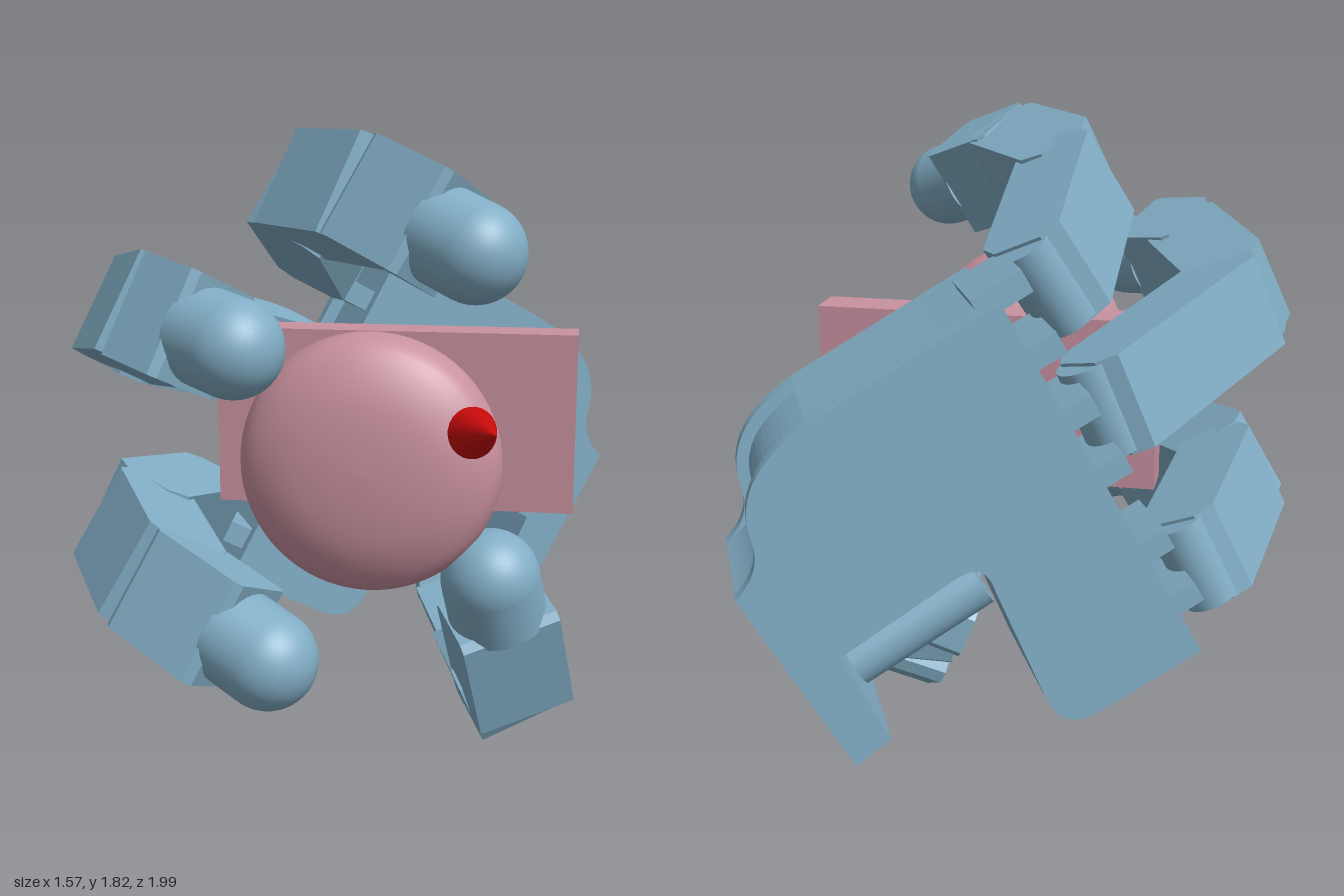
import * as THREE from 'three';

const V = (x, y, z) => new THREE.Vector3(x, y, z);
const blue = new THREE.MeshStandardMaterial({ color: 0x82aec6 });
const pink = new THREE.MeshStandardMaterial({ color: 0xc8919f });
const red = new THREE.MeshStandardMaterial({ color: 0xc80a0a });

function mesh(name, geometry, material, parent) {
  const m = new THREE.Mesh(geometry, material);
  m.name = name;
  parent.add(m);
  return m;
}

// Group at a, x axis towards b, z axis along the hinge direction
function frame(name, a, b, hinge, parent) {
  const g = new THREE.Group();
  const x = b.clone().sub(a).normalize();
  const z = hinge.clone().addScaledVector(x, -hinge.dot(x)).normalize();
  const y = z.clone().cross(x);
  g.quaternion.setFromRotationMatrix(new THREE.Matrix4().makeBasis(x, y, z));
  g.position.copy(a);
  g.name = name;
  parent.add(g);
  return g;
}

// Chamfered profile from x0 to x1, extruded across the width
function chamferBlock(x0, x1, thick, width, c) {
  const t = thick / 2;
  const s = new THREE.Shape([
    [x0 + c, -t], [x1 - c, -t], [x1, -t + c], [x1, t - c],
    [x1 - c, t], [x0 + c, t], [x0, t - c], [x0, -t + c],
  ].map(p => new THREE.Vector2(...p)));
  return new THREE.ExtrudeGeometry(s, { depth: width, bevelEnabled: false }).translate(0, 0, -width / 2);
}

// One phalanx: body and the hinge barrel at its start
function link(a, b, hinge, width, thick, parent) {
  const g = frame('phalanx', a, b, hinge, parent);
  const L = a.distanceTo(b);
  mesh('linkBody', chamferBlock(-0.03, L + 0.03, thick, width, 0.05), blue, g);
  mesh('hingeBarrel', new THREE.CylinderGeometry(0.09, 0.09, width - 0.02, 24).rotateX(Math.PI / 2), blue, g);
}

// Fingertip: a box ending in a round cap
function fingertip(a, tip, hinge, width, thick, parent) {
  const g = frame('fingertip', a, tip, hinge, parent);
  const L = a.distanceTo(tip);
  mesh('tipBody', chamferBlock(-0.04, L - 0.11, thick, width, 0.02), blue, g);
  mesh('tipCylinder', new THREE.CylinderGeometry(0.135, 0.135, 0.14, 40).rotateZ(Math.PI / 2), blue, g)
    .position.x = L - 0.07;
  mesh('tipCap', new THREE.SphereGeometry(0.135, 40, 24), blue, g).position.x = L;
}

function digit(name, points, hinge, width, thick, parent) {
  const g = new THREE.Group();
  g.name = name;
  parent.add(g);
  const n = points.length;
  for (let i = 0; i < n - 2; i++) link(points[i], points[i + 1], hinge, width, thick, g);
  fingertip(points[n - 2], points[n - 1], hinge, width, thick, g);
}

// Palm outline with the thumb slot; inset lowers the upper and knuckle edges
function palmShape(inset) {
  const s = new THREE.Shape();
  s.moveTo(0, 0.67);
  s.quadraticCurveTo(-0.08 - inset, 0.75, -0.05 - inset, 0.84);
  s.bezierCurveTo(-0.02 - inset, 0.96, -0.08 - inset, 1.07 - inset, -0.24, 1.16 - inset);
  s.lineTo(-0.72 + inset, 1.43 - inset);
  s.lineTo(-1.31 + inset, 0.36);
  s.lineTo(-1.0, 0.2);
  s.quadraticCurveTo(-0.89, 0.15, -0.84, 0.28);
  s.lineTo(-0.7, 0.62);
  s.quadraticCurveTo(-0.67, 0.72, -0.58, 0.66);
  s.lineTo(-0.27, 0.47);
  s.lineTo(-0.4, 0.2);
  s.lineTo(-0.3, 0.13);
  s.closePath();
  return s;
}

export function createModel() {
  const model = new THREE.Group();
  model.name = 'handGraspingKnob';

  // Door plate and knob
  mesh('doorPlate', new THREE.BoxGeometry(1.08, 0.54, 0.13), pink, model).position.set(0.15, 0.94, 0.085);
  const rose = [[0, 0.15], [0.19, 0.15], [0.19, 0.17], [0.175, 0.175], [0.195, 0.18], [0.2, 0.195], [0.19, 0.21],
    [0.13, 0.215], [0.11, 0.24], [0.1, 0.28], [0.1, 0.35], [0.12, 0.4]];
  const bulb = new THREE.SplineCurve([[0.12, 0.4], [0.22, 0.495], [0.31, 0.58], [0.345, 0.635], [0.35, 0.69],
    [0.32, 0.755], [0.23, 0.805], [0.12, 0.828], [0, 0.835]].map(p => new THREE.Vector2(...p))).getPoints(32);
  bulb[bulb.length - 1].x = 0;
  const profile = [...rose.map(p => new THREE.Vector2(...p)), ...bulb.slice(1)];
  mesh('knob', new THREE.LatheGeometry(profile, 64).rotateX(Math.PI / 2), pink, model).position.set(0.15, 0.94, 0);

  // Direction arrow
  const arrow = new THREE.Group();
  arrow.name = 'arrow';
  arrow.position.set(0.43, 1.06, 0.805);
  arrow.quaternion.setFromUnitVectors(V(0, 1, 0), V(0.07, 0.03, 0.155).normalize());
  mesh('arrowHead', new THREE.ConeGeometry(0.067, 0.17, 24), red, arrow).position.y = 0.085;
  mesh('arrowShaft', new THREE.CylinderGeometry(0.03, 0.03, 0.2, 20), red, arrow).position.y = -0.1;
  model.add(arrow);

  // Palm in three layers, the middle one recessed along the upper edge
  const palm = new THREE.Group();
  palm.name = 'palm';
  palm.position.set(0.59, 0, -1.0);
  palm.rotation.y = 0.446;
  model.add(palm);
  for (const [name, z, depth, inset] of [['palmBack', 0, 0.04, 0], ['palmCore', 0.04, 0.36, 0.035], ['palmFront', 0.4, 0.04, 0]]) {
    mesh(name, new THREE.ExtrudeGeometry(palmShape(inset), { depth, bevelEnabled: false, curveSegments: 16 }), blue, palm)
      .position.z = z;
  }
  // Cover panel filling most of the recessed upper edge
  const panel = mesh('edgePanel', new THREE.BoxGeometry(0.42, 0.06, 0.36), blue, palm);
  panel.position.set(-0.405, 1.224, 0.22);
  panel.rotation.z = -0.512;
  // Knuckle brackets along the finger edge
  for (const t of [0.08, 0.42, 0.82]) {
    for (const s of [-0.1, 0.1]) {
      const k = mesh('knuckleBracket', new THREE.BoxGeometry(0.16, 0.07, 0.24), blue, palm);
      k.position.set(-0.75 - 0.57 * t + 0.48 * s, 1.42 - 1.06 * t + 0.88 * s, 0.22);
      k.rotation.z = -0.5;
    }
  }
  // Thumb axle across the slot
  const axle = mesh('thumbAxle', new THREE.CylinderGeometry(0.08, 0.08, 0.42, 24), blue, palm);
  axle.position.set(-0.5, 0.5, 0.13);
  axle.rotation.z = 1.05;

  // Fingers
  const across = V(0.43, 0.875, -0.2);
  const fingers = {
    upperFinger: [V(-0.11, 1.41, -0.33), V(-0.115, 1.61, 0.14), V(0.14, 1.615, 0.47), V(0.42, 1.5, 0.65)],
    middleFinger: [V(-0.27, 1.04, -0.28), V(-0.63, 1.24, 0.25), V(-0.44, 1.3, 0.59), V(-0.195, 1.255, 0.77)],
    lowerFinger: [V(-0.54, 0.54, -0.18), V(-0.62, 0.64, 0.33), V(-0.42, 0.57, 0.69), V(-0.095, 0.44, 0.86)],
  };
  for (const [name, points] of Object.entries(fingers)) digit(name, points, across, 0.3, 0.25, model);

  // Thumb: base block, bracket and links
  const thumbHinge = V(0.88, 0.4, -0.28);
  const base = frame('thumbBase', V(0.2, 0.45, -0.58), V(0.27, 0.44, -0.24), thumbHinge, model);
  mesh('thumbBaseBlock', chamferBlock(0, 0.36, 0.15, 0.28, 0.02), blue, base);
  const bracket = frame('thumbBracket', V(0.29, 0.26, -0.36), V(0.4, 0.14, -0.16), thumbHinge, model);
  mesh('thumbBracketBlock', chamferBlock(0, 0.26, 0.18, 0.24, 0.03), blue, bracket);
  const stem = frame('thumbStem', V(0.24, 0.46, -0.38), V(0.28, 0.24, -0.34), thumbHinge, model);
  mesh('thumbStemBlock', chamferBlock(0, 0.24, 0.14, 0.2, 0.02), blue, stem);
  digit('thumb', [V(0.42, 0.14, -0.12), V(0.535, 0.25, 0.49), V(0.475, 0.625, 0.65)], thumbHinge, 0.28, 0.22, model);

  return model;
}
